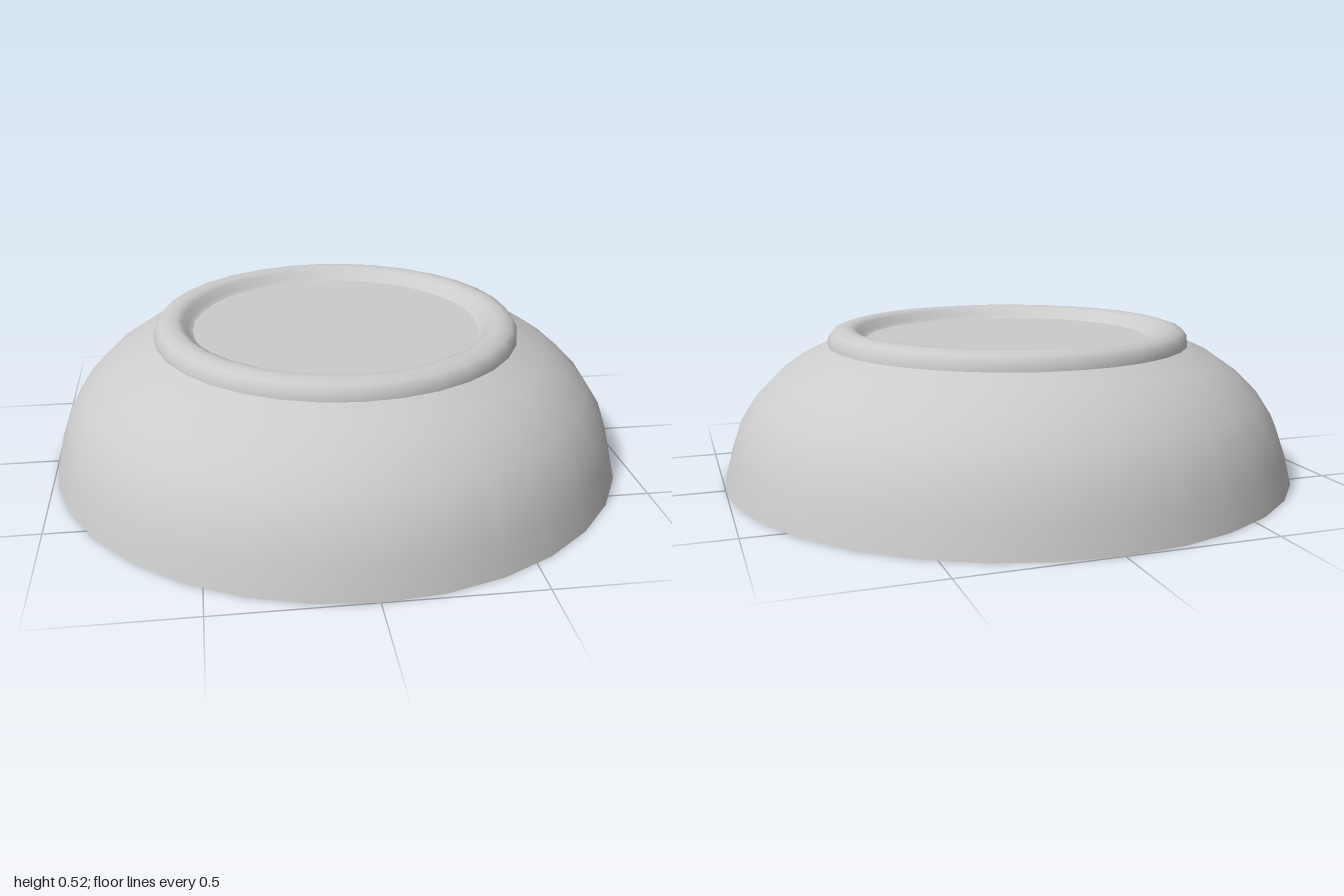
import * as THREE from 'three';

const SEGMENTS = 32;

export function createModel() {
  const model = new THREE.Group();
  model.name = 'upturnedBowl';
  const material = new THREE.MeshStandardMaterial({ color: 0xcccccc, side: THREE.DoubleSide });

  const addLathe = (name, points) => {
    const profile = points.map(([r, y]) => new THREE.Vector2(r, y));
    const mesh = new THREE.Mesh(new THREE.LatheGeometry(profile, SEGMENTS), material);
    mesh.name = name;
    model.add(mesh);
  };

  // Thin curved wall, open at the bottom
  addLathe('wall', [
    [1, 0], [0.975, 0.1], [0.94, 0.2], [0.885, 0.285], [0.81, 0.36], [0.73, 0.415], [0.635, 0.46],
  ]);

  // Rounded foot ring, rolling over into the recessed base
  addLathe('footRing', [
    [0.635, 0.46], [0.632, 0.485], [0.615, 0.508], [0.585, 0.518],
    [0.555, 0.518], [0.533, 0.508], [0.518, 0.485], [0.5, 0.475],
  ]);

  // Flat base inside the ring
  addLathe('base', [[0.5, 0.475], [0, 0.475]]);

  return model;
}
